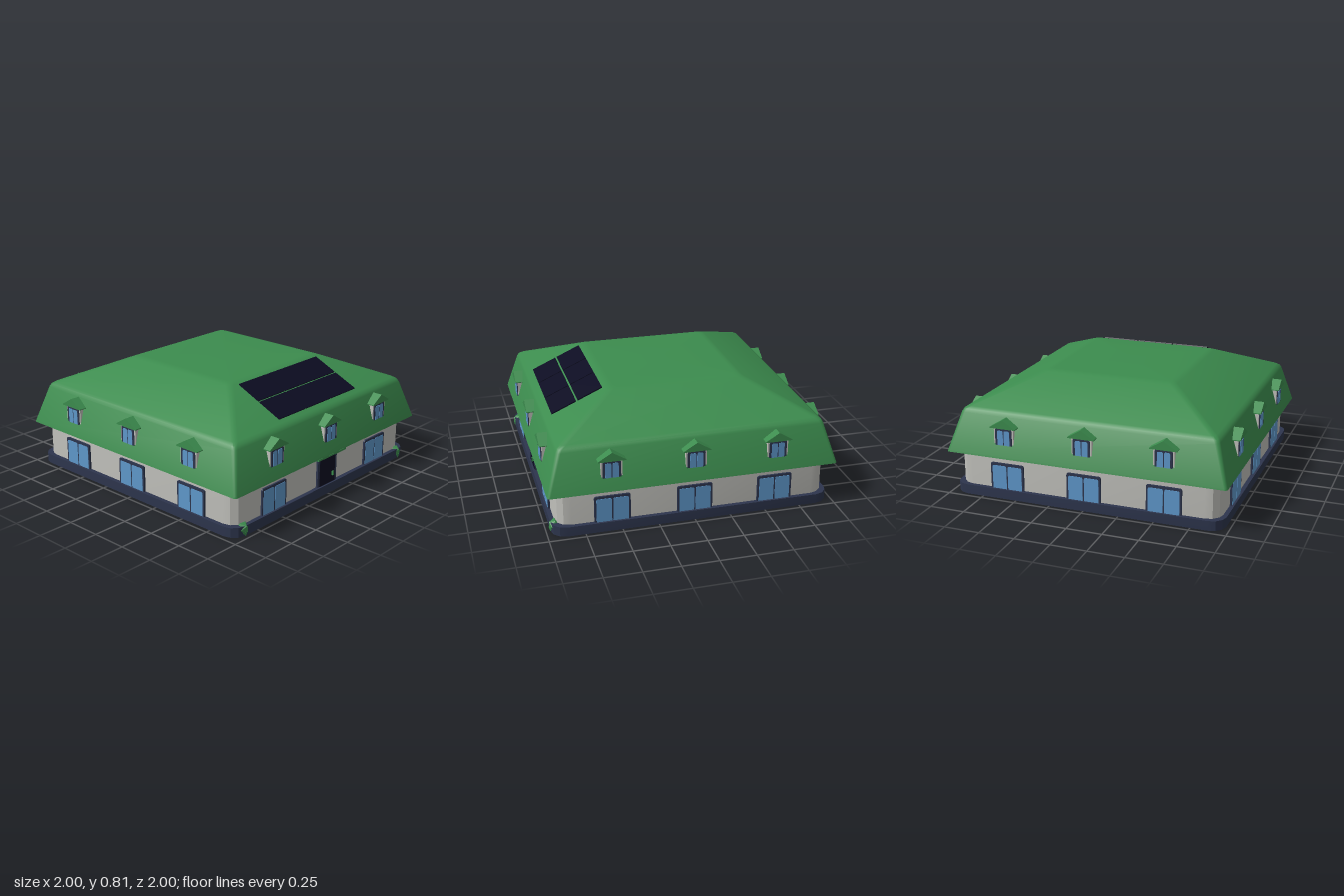
import * as THREE from 'three';
import { toCreasedNormals } from 'three/addons/utils/BufferGeometryUtils.js';

const paint = (name, color) => {
  const m = new THREE.MeshStandardMaterial({ color });
  m.name = name;
  return m;
};

export function createModel() {
  const model = new THREE.Group();
  model.name = 'house';
  const roofGreen = paint('roof green', 0x3c8c4e);
  const wallGrey = paint('wall grey', 0xc0c0bb);
  const navy = paint('navy trim', 0x2d354d);
  const glass = paint('window blue', 0x5f98cb);
  const panelBlack = paint('panel black', 0x0c0c22);

  const add = (parent, name, geometry, material, x = 0, y = 0, z = 0) => {
    const mesh = new THREE.Mesh(geometry, material);
    mesh.name = name;
    mesh.position.set(x, y, z);
    parent.add(mesh);
    return mesh;
  };
  const box = (parent, name, material, w, h, d, x, y, z) =>
    add(parent, name, new THREE.BoxGeometry(w, h, d), material, x, y, z);

  // Closed loft through rounded squares, each given as [half width, y, corner radius]
  const squareLoft = (levels, crease, steps = 3) => {
    const pos = [], index = [], n = 4 * (steps + 1);
    for (const [half, y, r] of levels) {
      for (let c = 0; c < 4; c++) {
        for (let s = 0; s <= steps; s++) {
          const a = (c + s / steps) * Math.PI / 2;
          const sx = c === 0 || c === 3 ? 1 : -1, sz = c < 2 ? -1 : 1;
          pos.push(sx * (half - r) + r * Math.cos(a), y, sz * (half - r) - r * Math.sin(a));
        }
      }
    }
    const last = levels.length - 1, bottom = n * levels.length, top = bottom + 1;
    pos.push(0, levels[0][1], 0, 0, levels[last][1], 0);
    for (let i = 0; i < n; i++) {
      const j = (i + 1) % n;
      for (let l = 0; l < last; l++) {
        const a = l * n + i, b = l * n + j;
        index.push(a, b, b + n, a, b + n, a + n);
      }
      index.push(bottom, j, i, top, last * n + i, last * n + j);
    }
    const g = new THREE.BufferGeometry();
    g.setAttribute('position', new THREE.Float32BufferAttribute(pos, 3));
    g.setIndex(index);
    return toCreasedNormals(g, crease);
  };

  // Upright plate with rounded top corners, its foot at y = 0 and its back at z = 0
  const plate = (w, h, r, depth) => {
    const s = new THREE.Shape(), k = w / 2;
    s.moveTo(-k, 0).lineTo(k, 0).lineTo(k, h - r);
    s.quadraticCurveTo(k, h, k - r, h).lineTo(-k + r, h);
    s.quadraticCurveTo(-k, h, -k, h - r);
    return new THREE.ExtrudeGeometry(s, { depth, bevelEnabled: false, curveSegments: 3 });
  };

  // Main shells
  add(model, 'walls', squareLoft([[0.94, 0, 0.1], [0.94, 0.32, 0.1]], 0.3), wallGrey);
  add(model, 'plinth', squareLoft([[0.97, 0.002, 0.1], [0.97, 0.07, 0.1]], 0.3), navy);
  add(model, 'roof', squareLoft([
    [0.985, 0.305, 0.02], [1, 0.31, 0.02], [0.997, 0.322, 0.02], [0.92, 0.585, 0.03],
    [0.908, 0.606, 0.03], [0.885, 0.622, 0.035], [0.49, 0.8, 0.04],
    [0.465, 0.808, 0.04], [0.44, 0.81, 0.04],
  ], 0.6), roofGreen);

  // Two-pane wall window
  const frameGeo = plate(0.245, 0.19, 0.015, 0.02);
  const paneGeo = plate(0.104, 0.17, 0.012, 0.006);
  const addWindow = (side, x) => {
    const g = new THREE.Group();
    g.name = 'window';
    g.position.set(x, 0.066, 0.933);
    add(g, 'windowFrame', frameGeo, navy);
    for (const s of [-1, 1]) add(g, 'windowPane', paneGeo, glass, s * 0.057, 0.003, 0.0165);
    side.add(g);
  };

  // Gabled dormer with a small two-pane window
  const gable = new THREE.Shape()
    .moveTo(-0.094, 0).lineTo(0.094, 0).lineTo(0.094, 0.006).lineTo(0, 0.063).lineTo(-0.094, 0.006);
  const gableGeo = new THREE.ExtrudeGeometry(gable, { depth: 0.11, bevelEnabled: false });
  const dormerFrameGeo = plate(0.122, 0.122, 0.02, 0.01);
  const dormerPaneGeo = plate(0.042, 0.105, 0.012, 0.004);
  const addDormer = (side, x) => {
    const g = new THREE.Group();
    g.name = 'dormer';
    g.position.set(x, 0.4, 0);
    box(g, 'dormerWall', wallGrey, 0.144, 0.13, 0.09, 0, 0.065, 0.927);
    add(g, 'dormerFrame', dormerFrameGeo, navy, 0, 0, 0.967);
    for (const s of [-1, 1]) add(g, 'dormerPane', dormerPaneGeo, glass, s * 0.024, 0, 0.975);
    add(g, 'dormerRoof', gableGeo, roofGreen, 0, 0.122, 0.881);
    side.add(g);
  };

  // Four matching sides; the front has a door in the middle
  const names = ['frontSide', 'leftSide', 'backSide', 'rightSide'];
  names.forEach((name, k) => {
    const side = new THREE.Group();
    side.name = name;
    side.rotation.y = k * Math.PI / 2;
    for (const i of [-1, 0, 1]) {
      if (k > 0 || i !== 0) addWindow(side, i * 0.565);
      addDormer(side, i * 0.57);
    }
    model.add(side);
  });

  // Door with handle and canopy
  const door = new THREE.Group();
  door.name = 'door';
  add(door, 'doorFrame', plate(0.21, 0.22, 0.015, 0.022), navy, 0, 0.064, 0.933);
  add(door, 'doorLeaf', plate(0.17, 0.195, 0.008, 0.006), panelBlack, 0, 0.07, 0.951);
  box(door, 'doorHandle', roofGreen, 0.012, 0.03, 0.014, 0.055, 0.135, 0.962);
  box(door, 'doorCanopy', roofGreen, 0.31, 0.014, 0.07, 0, 0.3, 0.962);
  model.add(door);

  // Solar panels lying on the front slope
  const array = new THREE.Group();
  array.name = 'solarPanels';
  array.position.set(0, 0.7205, 0.684);
  array.rotation.x = Math.atan2(0.178, 0.395);
  for (const c of [-1, 0, 1]) {
    for (const r of [-1, 1]) {
      box(array, 'solarPanel', panelBlack, 0.272, 0.008, 0.188, c * 0.282, 0, r * 0.1);
    }
  }
  model.add(array);

  // Faceted shrubs at the front corners
  const shrubGreen = roofGreen.clone();
  shrubGreen.name = 'shrub green';
  shrubGreen.flatShading = true;
  for (const s of [-1, 1]) {
    const shrub = new THREE.Group();
    shrub.name = 'shrub';
    shrub.position.set(s * 0.865, 0, 0.94);
    add(shrub, 'shrubLeaves', new THREE.IcosahedronGeometry(0.045, 0), shrubGreen, 0, 0.045, 0);
    add(shrub, 'shrubStem', new THREE.CylinderGeometry(0.03, 0.02, 0.03, 6), shrubGreen, 0, 0.016, 0.012);
    model.add(shrub);
  }
  return model;
}
